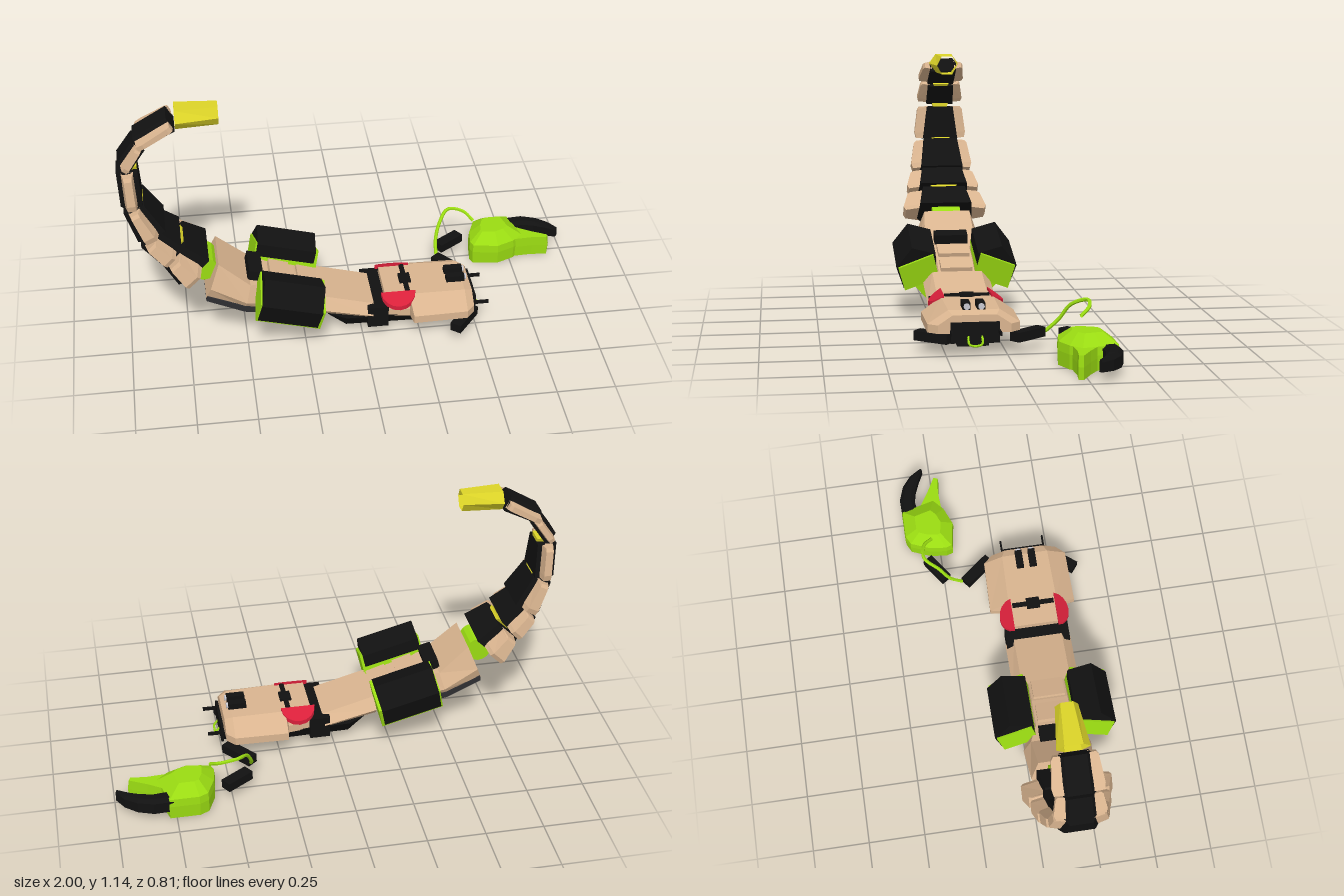
import * as THREE from 'three';

const mat = (name, color) => {
  const m = new THREE.MeshStandardMaterial({ color, side: THREE.DoubleSide, flatShading: true });
  m.name = name;
  return m;
};

export function createModel() {
  const tan = mat('tan', 0xd9b48f), black = mat('black', 0x111111), green = mat('lime green', 0x9adb12);
  const yellow = mat('yellow', 0xdcd428), red = mat('red', 0xd8203a), grey = mat('light grey', 0xc8c8d0);
  const dark = mat('dark grey', 0x2e2e31);
  const model = new THREE.Group();
  model.name = 'scorpion';
  const body = new THREE.Group();
  body.name = 'body';
  body.position.z = 0.132;
  model.add(body);

  const add = (name, geo, m, parent = body) => {
    const mesh = new THREE.Mesh(geo, m);
    mesh.name = name;
    parent.add(mesh);
    return mesh;
  };
  const box = (name, m, size, pos, parent = body) => {
    const mesh = add(name, new THREE.BoxGeometry(...size), m, parent);
    mesh.position.set(...pos);
    return mesh;
  };

  // Faceted skin over cross-sections, always wound outward
  function loft(rings, capped = true) {
    const tris = [], n = rings[0].length;
    const v = (p) => new THREE.Vector3(...p);
    rings = rings.map((r) => r.map(v));
    for (let i = 0; i + 1 < rings.length; i++) {
      for (let j = 0; j < n; j++) {
        const k = (j + 1) % n, a = rings[i], b = rings[i + 1];
        tris.push([a[j], a[k], b[k]], [a[j], b[k], b[j]]);
      }
    }
    if (capped) {
      const cap = (r, flip) => {
        const c = r.reduce((s, p) => s.add(p), new THREE.Vector3()).divideScalar(n);
        r.forEach((p, j) => tris.push(flip ? [c, r[(j + 1) % n], p] : [c, p, r[(j + 1) % n]]));
      };
      cap(rings[0], true);
      cap(rings[rings.length - 1], false);
    }
    const o = rings[0][0];
    let volume = 0;
    for (const [a, b, c] of tris) {
      volume += a.clone().sub(o).dot(b.clone().sub(o).cross(c.clone().sub(o)));
    }
    const pts = tris.flatMap(([a, b, c]) => (volume < 0 ? [a, c, b] : [a, b, c]));
    const g = new THREE.BufferGeometry().setFromPoints(pts);
    g.computeVertexNormals();
    return g;
  }

  // Ring across a path in the xy plane: section points are [outward, z]
  const across = ([x, y], a, pts) => pts.map(([n, z]) => [x - n * Math.sin(a), y + n * Math.cos(a), z]);

  // Tail segments: lower point, upper point, half thicknesses, half widths, outer pad half width
  const tail = [
    [[-0.711, 0.385], [-0.797, 0.473], 0.092, 0.068, 0.13, 0.108, 0.195],
    [[-0.8, 0.48], [-0.888, 0.562], 0.066, 0.058, 0.12, 0.1, 0.17],
    [[-0.874, 0.572], [-0.944, 0.714], 0.064, 0.048, 0.106, 0.086, 0.145],
    [[-0.947, 0.718], [-0.957, 0.885], 0.045, 0.044, 0.088, 0.066, 0.122],
    [[-0.97, 0.904], [-0.901, 1.003], 0.031, 0.031, 0.068, 0.064, 0.107],
    [[-0.915, 1.01], [-0.762, 1.094], 0.028, 0.034, 0.066, 0.064, 0.106],
  ];
  tail.forEach(([p, q, t0, t1, w0, w1, pad], i) => {
    const a = Math.atan2(q[1] - p[1], q[0] - p[0]);
    const at = (f) => [p[0] + (q[0] - p[0]) * f, p[1] + (q[1] - p[1]) * f];
    const shell = (t, w) => [[t, -w * 0.72], [t, w * 0.72], [t * 0.3, w], [-t, w * 0.92], [-t, -w * 0.92], [t * 0.3, -w]];
    add('tailSegment', loft([across(at(0.04), a, shell(t0, w0)), across(at(0.96), a, shell(t1, w1))]), black);
    for (const s of [-1, 1]) {
      const section = (t, inner, outer) => [[t * 0.6, s * inner], [t * 0.35, s * outer], [-t * 0.4, s * outer], [-t * 0.6, s * inner]];
      add('tailSidePad', loft([
        across(at(0.06), a, section(t0, w0 * 0.8, pad * 0.95)),
        across(at(0.22), a, section(t0, w0 * 0.8, pad)),
        across(at(0.88), a, section(t1, w1 * 0.8, pad * 0.88)),
        across(at(0.96), a, section(t1, w1 * 0.8, pad * 0.8)),
      ]), tan);
    }
    if (i < 5) {
      const link = (w) => [[0.01, -w], [0.01, w], [-t1 * 0.95, w], [-t1 * 0.95, -w]];
      add('tailLink', loft([across(at(0.85), a, link(w1 * 0.38)), across(at(1.06), a, link(w1 * 0.58))]), yellow);
    }
  });

  // Open hexagonal stinger
  const hex = (x, y, h, w) => [[x, y + h, -w * 0.55], [x, y + h, w * 0.55], [x, y, w], [x, y - h, w * 0.5], [x, y - h, -w * 0.5], [x, y, -w]];
  add('stinger', loft([hex(-0.75, 1.1, 0.043, 0.068), hex(-0.575, 1.1, 0.041, 0.046)], false), yellow);

  const joint = add('tailJoint', new THREE.CylinderGeometry(0.056, 0.056, 0.13, 16), green);
  joint.rotation.x = Math.PI / 2;
  joint.position.set(-0.67, 0.375, 0);

  // Hull rings: top x, y; bottom x, y; half widths
  const hull = (rows) => loft(rows.map(([xt, yt, xb, yb, wt, wb]) => {
    const mx = xt * 0.35 + xb * 0.65, my = yt * 0.35 + yb * 0.65;
    return [[xt, yt, -wt], [xt, yt, wt], [mx, my, wb], [xb, yb, wb * 0.85], [xb, yb, -wb * 0.85], [mx, my, -wb]];
  }));
  add('abdomen', hull([
    [-0.61, 0.42, -0.67, 0.265, 0.105, 0.14], [-0.48, 0.305, -0.51, 0.2, 0.115, 0.15],
    [-0.4, 0.285, -0.42, 0.16, 0.08, 0.12], [-0.28, 0.25, -0.3, 0.13, 0.08, 0.11], [-0.17, 0.2, -0.19, 0.13, 0.08, 0.1],
  ]), tan);
  add('underside', hull([
    [-0.665, 0.275, -0.67, 0.24, 0.13, 0.13], [-0.51, 0.215, -0.51, 0.172, 0.14, 0.14], [-0.33, 0.16, -0.34, 0.122, 0.11, 0.11],
  ]), dark);
  box('backClamp', black, [0.06, 0.07, 0.15], [-0.46, 0.31, 0]).rotation.z = -0.25;
  for (const [x, y] of [[-0.35, 0.275], [-0.23, 0.232]]) {
    box('backPlate', tan, [0.09, 0.03, 0.14], [x, y, 0]).rotation.z = -0.32;
  }
  add('waist', hull([[-0.185, 0.215, -0.19, 0.14, 0.11, 0.15], [0.05, 0.15, 0.04, 0.09, 0.11, 0.15]]), tan);

  // Shoulder shields with lime cores and hanging flaps
  for (const s of [-1, 1]) {
    const prism = (x0, x1, pts) => loft([x0, x1].map((x) => pts.map(([z, y]) =>
      [x + (y - 0.23) * 0.22, y - (x + 0.185) * 0.27, s * z])));
    add('shield', prism(-0.443, -0.19, [[0.095, 0.295], [0.2, 0.325], [0.268, 0.235], [0.235, 0.14], [0.18, 0.165], [0.09, 0.21]]), black);
    add('shieldCore', prism(-0.45, -0.178, [[0.106, 0.297], [0.26, 0.237], [0.23, 0.133], [0.08, 0.19]]), green);
    add('flap', loft([[0.225, 0.19, -0.375, -0.24], [0.12, 0.07, -0.375, -0.255]].map(([z, y, x0, x1]) =>
      [[x0, y + 0.025, s * z], [x1, y, s * z], [x1, y, s * (z - 0.04)], [x0, y + 0.025, s * (z - 0.04)]])), green);
  }

  // Head
  const headRing = (x, top, wt, w) => [[x, top, -wt], [x, top, wt], [x, 0.125, w], [x, 0.09, w], [x, 0.09, -w], [x, 0.125, -w]];
  add('head', loft([
    headRing(0.1, 0.185, 0.1, 0.125), headRing(0.205, 0.185, 0.11, 0.14), headRing(0.215, 0.185, 0.11, 0.195),
    headRing(0.45, 0.18, 0.105, 0.19), headRing(0.485, 0.165, 0.09, 0.15),
  ]), tan);
  box('neckBlock', black, [0.09, 0.1, 0.29], [0.065, 0.1, 0]);
  box('headStrap', black, [0.02, 0.02, 0.19], [0.2, 0.185, 0]);
  box('headStrapCentre', black, [0.05, 0.02, 0.06], [0.2, 0.187, 0]);
  for (const s of [-1, 1]) {
    // Half-round eye plates lying on the sloping sides
    add('eye', loft([0, -0.02].map((drop) => Array.from({ length: 9 }, (_, i) => {
      const t = (i / 8) * Math.PI, v = 0.07 * Math.sin(t);
      return [0.158 + 0.075 * Math.cos(t), 0.197 - 0.55 * v + drop, s * (0.1 + 0.85 * v)];
    }))), red);
    box('noseBarrel', black, [0.08, 0.028, 0.032], [0.42, 0.195, s * 0.03]);
    const tip = add('barrelTip', new THREE.CylinderGeometry(0.013, 0.013, 0.01, 12), grey);
    tip.rotation.z = Math.PI / 2;
    tip.position.set(0.463, 0.195, s * 0.03);
    box('frontProng', black, [0.06, 0.015, 0.008], [0.53, 0.1, s * 0.098]);
  }

  // Lower chassis
  const chassisRing = (x, top, bottom, w) => [[x, top, -w], [x, top, w], [x, bottom, w * 0.75], [x, bottom, -w * 0.75]];
  add('chassis', loft([
    chassisRing(-0.145, 0.1, 0.08, 0.09), chassisRing(-0.07, 0.095, 0.04, 0.13), chassisRing(0.3, 0.095, 0.035, 0.135),
    chassisRing(0.42, 0.09, 0.045, 0.12), chassisRing(0.5, 0.09, 0.05, 0.1),
  ]), black);
  box('chassisFoot', black, [0.1, 0.04, 0.13], [0.37, 0.04, 0]);
  box('frontPlate', black, [0.012, 0.085, 0.2], [0.497, 0.095, 0]);
  const handle = new THREE.CatmullRomCurve3([
    [0.5, 0.08, -0.028], [0.52, 0.055, -0.028], [0.52, 0.046, -0.018], [0.52, 0.046, 0.018], [0.52, 0.055, 0.028], [0.5, 0.08, 0.028],
  ].map((p) => new THREE.Vector3(...p)));
  add('frontHandle', new THREE.TubeGeometry(handle, 16, 0.005, 6), green);

  // Arm links, given as plan endpoints
  const link = (x0, z0, x1, z1) => {
    const m = box('armLink', black, [Math.hypot(x1 - x0, z1 - z0), 0.04, 0.05], [(x0 + x1) / 2, 0.07, (z0 + z1) / 2], model);
    m.rotation.y = -Math.atan2(z1 - z0, x1 - x0);
  };
  link(0.39, -0.155, 0.49, -0.03);
  link(0.42, -0.24, 0.53, -0.315);
  link(0.39, 0.36, 0.49, 0.235);

  const hose = new THREE.CatmullRomCurve3([
    [0.4, 0.07, -0.17], [0.405, 0.12, -0.225], [0.43, 0.185, -0.27], [0.48, 0.215, -0.33], [0.55, 0.2, -0.325], [0.59, 0.172, -0.285],
  ].map((p) => new THREE.Vector3(...p)));
  add('hose', new THREE.TubeGeometry(hose, 32, 0.008, 6), green, model);

  // Claw
  const claw = new THREE.Group();
  claw.name = 'claw';
  model.add(claw);
  const palm = [[0.565, -0.22], [0.575, -0.3], [0.61, -0.385], [0.65, -0.405], [0.78, -0.405], [0.8, -0.33], [0.82, -0.25], [0.77, -0.205], [0.69, -0.172], [0.575, -0.19]];
  const scaled = (pts, y, k, cx, cz) => pts.map(([x, z]) => [cx + (x - cx) * k, y, cz + (z - cz) * k]);
  add('palm', loft([[0, 0.98], [0.06, 1], [0.095, 0.97], [0.138, 0.5]].map(([y, k]) => scaled(palm, y, k, 0.68, -0.29))), green, claw);
  const thumb = [[0.76, -0.34], [0.86, -0.275], [0.94, -0.232], [0.932, -0.212], [0.86, -0.22], [0.76, -0.215]];
  add('lowerFinger', loft([[0, 0.97], [0.05, 1], [0.095, 0.94]].map(([y, k]) => scaled(thumb, y, k, 0.84, -0.25))), green, claw);
  // Curved black finger, from base to point: x, z, half width, half height
  add('upperFinger', loft([
    [0.76, -0.365, 0.038, 0.035], [0.84, -0.372, 0.034, 0.036], [0.9, -0.355, 0.03, 0.034], [0.95, -0.325, 0.022, 0.031], [0.99, -0.287, 0.007, 0.027],
  ].map(([x, z, w, h], i) => {
    const a = [0, 0.1, 0.4, 0.6, 0.8][i];
    return [[-1, 0.6], [-0.5, 1], [0.5, 1], [1, 0.6], [1, -0.8], [-1, -0.8]].map(([u, v]) =>
      [x - Math.sin(a) * u * w, 0.064 + v * h, z + Math.cos(a) * u * w]);
  })), black, claw);
  return model;
}
